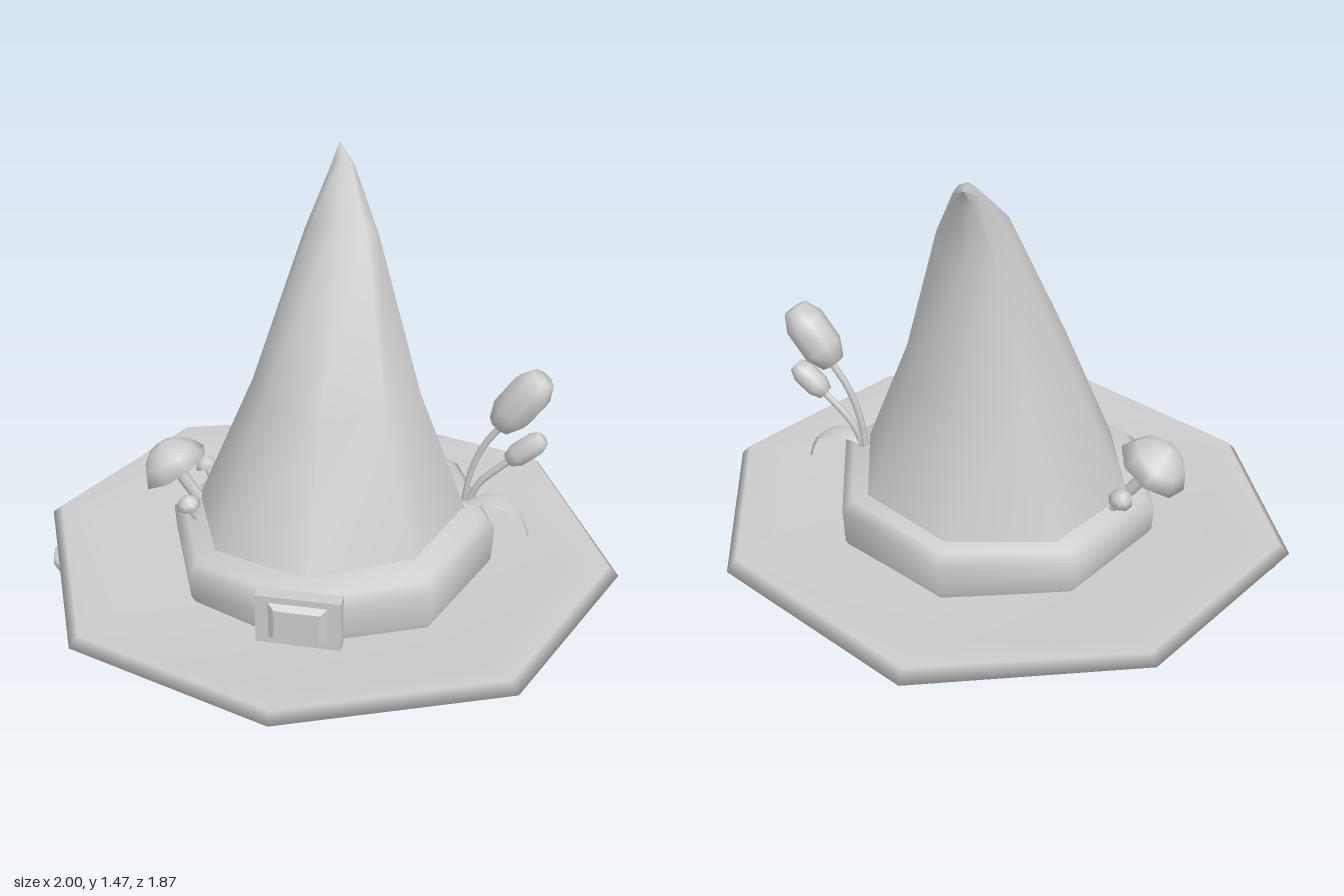
import * as THREE from 'three';

const SIDES = 8;
const V = (x, y, z) => new THREE.Vector3(x, y, z);
const mat = new THREE.MeshStandardMaterial({ color: 0xcccccc });
const thin = new THREE.MeshStandardMaterial({ color: 0xcccccc, side: THREE.DoubleSide });

function add(parent, name, geometry, material = mat) {
  const mesh = new THREE.Mesh(geometry, material);
  mesh.name = name;
  parent.add(mesh);
  return mesh;
}

// Skin a list of closed rings, ordered along the outward-facing profile
function loft(rings) {
  const n = rings[0].length, index = [];
  for (let r = 0; r < rings.length - 1; r++) {
    for (let i = 0; i < n; i++) {
      const j = (i + 1) % n, a = r * n + i, b = r * n + j;
      index.push(a, a + n, b, b, a + n, b + n);
    }
  }
  const g = new THREE.BufferGeometry().setFromPoints(rings.flat());
  g.setIndex(index);
  g.computeVertexNormals();
  return g;
}

// Build one ring by calling fn(cos, sin, i) around the circle
const ring = fn => Array.from({ length: SIDES }, (_, i) => {
  const a = i / SIDES * Math.PI * 2;
  return fn(Math.cos(a), Math.sin(a), i);
});

// Wavy dished brim: heights listed from left side, via front, right side and back
function brim(parent) {
  const under = [0.07, 0.07, 0.07, 0.02, 0.112, 0.075, 0.04, 0.075];
  const edge = [0.165, 0.165, 0.17, 0.13, 0.18, 0.17, 0.13, 0.17];
  const top = [0.2, 0.2, 0.2, 0.165, 0.21, 0.2, 0.17, 0.212];
  const level = (s, ys) => ring((c, d, i) => V(c * s, ys[i], d * s * 0.933));
  const flat = y => Array(SIDES).fill(y);
  add(parent, 'brim', loft([
    level(0.05, flat(0.068)), level(0.855, under), level(1, edge), level(0.965, top),
    level(0.83, top.map(y => y * 0.6 + 0.05)), level(0.45, flat(0.155)),
  ]));
  // Flat middle of the underside
  const middle = add(parent, 'brimMiddle', new THREE.CircleGeometry(0.052, SIDES));
  middle.rotation.x = Math.PI / 2;
  middle.position.y = 0.068;
}

// Cone whose rings lean backwards towards a hooked tip
function cone(parent) {
  const rows = [ // front z, front y, back z, back y, half width, centre x
    [0.475, 0.28, -0.5, 0.28, 0.485, 0.02],
    [0.245, 0.8, -0.365, 0.73, 0.282, 0.02],
    [-0.105, 1.32, -0.293, 1.19, 0.122, 0.012],
    [-0.3, 1.465, -0.352, 1.41, 0.038, -0.006],
    [-0.412, 1.484, -0.414, 1.482, 0.001, -0.032],
  ];
  add(parent, 'cone', loft(rows.map(([fz, fy, bz, by, w, cx]) => ring((c, s) => {
    const t = (1 + s) / 2;
    return V(cx + c * w, by + (fy - by) * t, bz + (fz - bz) * t);
  }))));
}

// Hat band, slightly higher on the left side
function band(parent) {
  const rows = [[0.53, 0.13], [0.555, 0.18], [0.56, 0.283], [0.525, 0.315], [0.44, 0.345]];
  add(parent, 'hatBand', loft(rows.map(([r, y]) => ring((c, s) =>
    V(0.015 + c * r, y + (y > 0.25 ? c * 0.024 : 0), s * r - 0.002)))));
}

// Rectangular buckle with a raised, sloping centre
function buckle(parent) {
  const g = new THREE.Group();
  g.name = 'buckle';
  g.position.set(0.015, 0.262, 0.52);
  add(g, 'bucklePlate', new THREE.BoxGeometry(0.272, 0.178, 0.046)).position.z = 0.023;
  const centre = new THREE.CylinderGeometry(0.103, 0.135, 0.02, 4, 1).toNonIndexed();
  centre.rotateY(Math.PI / 4).rotateX(Math.PI / 2).scale(1, 0.7, 1);
  centre.computeVertexNormals();
  add(g, 'buckleCentre', centre).position.z = 0.055;
  parent.add(g);
}

const tube = (points, r) =>
  new THREE.TubeGeometry(new THREE.CatmullRomCurve3(points), 8, r, 6);

// Lathe turned so that its y axis follows a direction
function turned(parent, name, profile, pos, dir) {
  const g = new THREE.LatheGeometry(profile.map(p => new THREE.Vector2(...p)), SIDES);
  const mesh = add(parent, name, g);
  mesh.position.copy(pos);
  mesh.quaternion.setFromUnitVectors(V(0, 1, 0), dir.clone().normalize());
}

function cattail(parent, path, centre, dir, r, h) {
  const g = new THREE.Group();
  g.name = 'cattail';
  add(g, 'cattailStalk', tube(path, 0.012));
  turned(g, 'cattailHead', [[0, -h], [r * 0.6, -h * 0.97], [r, -h * 0.45],
    [r, h * 0.5], [r * 0.6, h * 0.97], [0, h]], centre, dir);
  parent.add(g);
}

// Drooping leaf: a tapering ribbon with a raised middle
function leaf(parent) {
  const curve = new THREE.CatmullRomCurve3([V(0.47, 0.35, -0.065), V(0.54, 0.378, -0.062),
    V(0.61, 0.365, -0.06), V(0.66, 0.325, -0.058), V(0.685, 0.25, -0.055)]);
  const pts = [], index = [], n = 8;
  for (let i = 0; i <= n; i++) {
    const t = i / n, p = curve.getPoint(t);
    const w = 0.046 * Math.min(1, 0.35 + t * 2) * Math.min(1, (1 - t) * 1.9);
    pts.push(V(p.x, p.y, p.z - w), V(p.x + 0.008 * t, p.y + 0.012 * (1 - t), p.z), V(p.x, p.y, p.z + w));
    if (i < n) for (const k of [i * 3, i * 3 + 1]) index.push(k, k + 1, k + 3, k + 1, k + 4, k + 3);
  }
  const g = new THREE.BufferGeometry().setFromPoints(pts);
  g.setIndex(index);
  g.computeVertexNormals();
  add(parent, 'leaf', g, thin);
}

function mushroom(parent, base, rim, dir, r, h, stem) {
  const g = new THREE.Group();
  g.name = 'mushroom';
  const mid = base.clone().lerp(rim, 0.5).addScaledVector(dir, -0.01);
  add(g, 'mushroomStem', tube([base, mid, rim.clone().addScaledVector(dir, h * 0.3)], stem));
  turned(g, 'mushroomCap', [[0, -h * 0.08], [r * 0.6, -h * 0.06], [r, 0.02 * h], [r * 0.78, h * 0.5],
    [r * 0.4, h * 0.88], [0, h]], rim, dir);
  parent.add(g);
}

export function createModel() {
  const hat = new THREE.Group();
  hat.name = 'hat';
  brim(hat);
  cone(hat);
  band(hat);
  buckle(hat);

  // Reeds on the left side
  cattail(hat, [V(0.46, 0.33, -0.08), V(0.48, 0.47, -0.08), V(0.52, 0.58, -0.08), V(0.58, 0.67, -0.08)],
    V(0.63, 0.755, -0.08), V(0.55, 0.8, 0), 0.07, 0.117);
  cattail(hat, [V(0.47, 0.33, -0.075), V(0.51, 0.43, -0.075), V(0.62, 0.545, -0.075)],
    V(0.657, 0.58, -0.075), V(0.75, 0.66, 0), 0.042, 0.073);
  leaf(hat);

  // Mushrooms on the right side and one hanging under the brim
  mushroom(hat, V(-0.44, 0.29, 0), V(-0.53, 0.418, -0.005), V(-0.51, 0.86, 0), 0.125, 0.108, 0.022);
  mushroom(hat, V(-0.42, 0.3, 0.12), V(-0.45, 0.355, 0.13), V(-0.15, 0.97, 0.15), 0.042, 0.042, 0.012);
  mushroom(hat, V(-0.42, 0.3, -0.11), V(-0.455, 0.352, -0.125), V(-0.3, 0.9, -0.25), 0.042, 0.045, 0.012);
  mushroom(hat, V(-0.85, 0.125, 0.12), V(-0.903, 0.07, 0.12), V(-0.63, -0.78, 0), 0.067, 0.062, 0.013);
  return hat;
}
